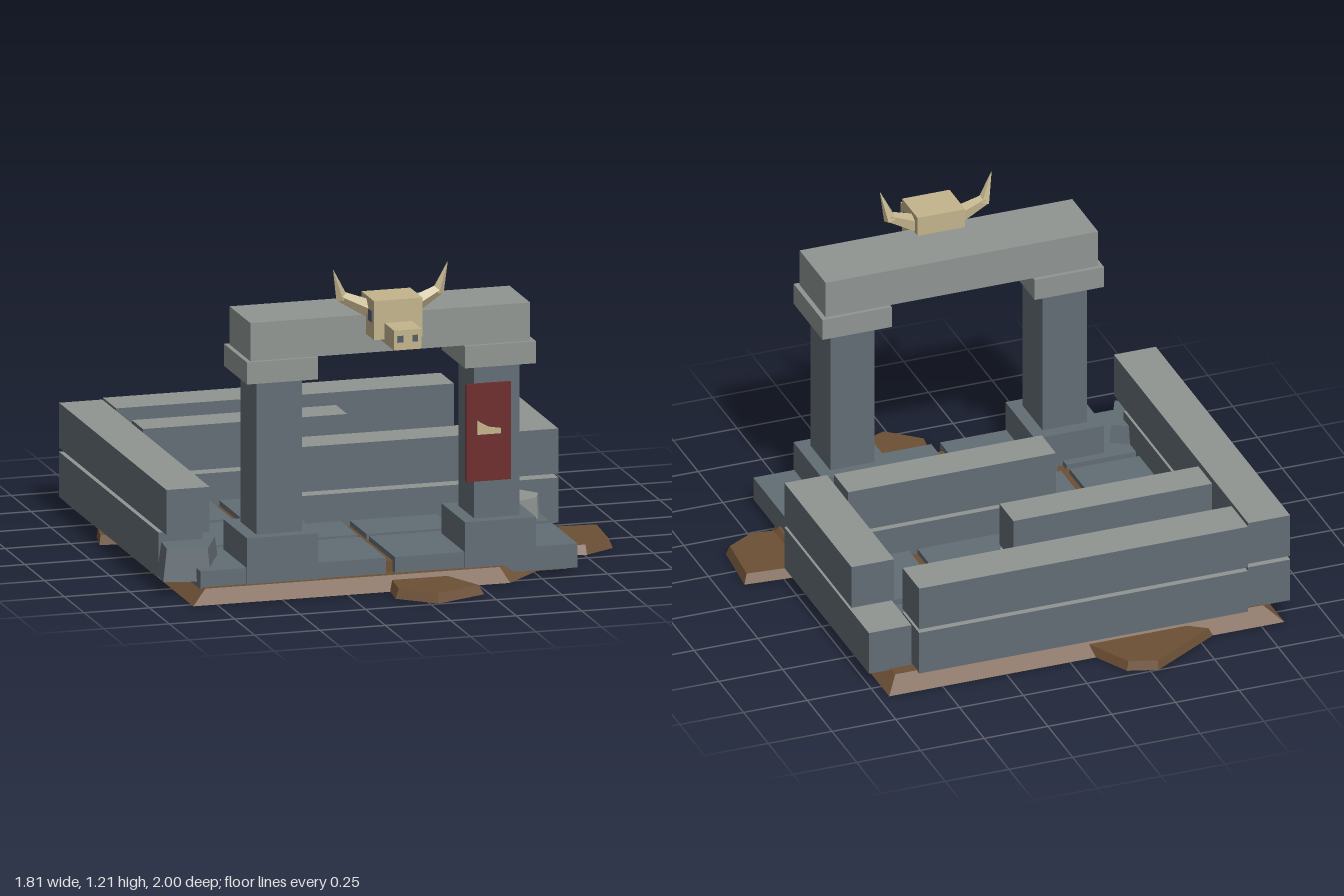
import * as THREE from 'three';
import { ConvexGeometry } from 'three/addons/geometries/ConvexGeometry.js';

export function createModel() {
  const root = new THREE.Group();
  root.name = 'ruinedGatehouse';

  const material = (name, color) => {
    const m = new THREE.MeshStandardMaterial({ color, flatShading: true });
    m.name = name;
    return m;
  };
  const stone = material('blueGreyStone', 0x626d74);
  const paleStone = material('paleStone', 0x8f9592);
  const earth = material('brownEarth', 0x6d5036);
  const bone = material('bone', 0xc2b48c);
  const cloth = material('darkRedCloth', 0x6e2a2c);
  const hollow = material('darkHollow', 0x525c66);
  const wornStone = [stone, stone, paleStone, stone, stone, stone]; // pale top face

  const add = (name, geometry, mat, parent = root) => {
    const mesh = new THREE.Mesh(geometry, mat);
    mesh.name = name;
    parent.add(mesh);
    return mesh;
  };
  // Box given by its limits on each axis
  const box = (name, mat, [x0, x1], [y0, y1], [z0, z1], parent = root) => {
    const g = new THREE.BoxGeometry(x1 - x0, y1 - y0, z1 - z0);
    g.translate((x0 + x1) / 2, (y0 + y1) / 2, (z0 + z1) / 2);
    return add(name, g, mat, parent);
  };
  // Convex slab on an (x, z) outline, its top shrunk towards the middle
  const slab = (name, mat, outline, y0, y1, shrink) => {
    const n = outline.length;
    const cx = outline.reduce((s, p) => s + p[0], 0) / n;
    const cz = outline.reduce((s, p) => s + p[1], 0) / n;
    const points = outline.flatMap(([x, z]) => [
      new THREE.Vector3(x, y0, z),
      new THREE.Vector3(cx + (x - cx) * shrink, y1, cz + (z - cz) * shrink),
    ]);
    return add(name, new ConvexGeometry(points), mat);
  };

  // Earth: sloped base, bed between the tiles, loose clods
  slab('groundBase', earth,
    [[-0.84, -0.83], [0.71, -0.83], [0.71, 0.44], [0.37, 0.775], [-0.84, 0.775]], 0, 0.05, 0.93);
  box('tileBed', earth, [-0.76, 0.62], [0.01, 0.09], [-0.7, 0.67]);
  slab('backClod', earth,
    [[-0.56, -0.83], [-0.28, -1], [-0.17, -0.965], [-0.07, -0.77], [-0.4, -0.72]], 0, 0.035, 0.93);
  slab('rightClod', earth,
    [[0.6, 0.12], [0.9, 0.145], [0.88, 0.385], [0.76, 0.455], [0.6, 0.43]], 0, 0.035, 0.9);
  slab('frontClod', earth,
    [[-0.1, 0.88], [0.03, 0.995], [0.23, 0.91], [0.13, 0.68], [-0.08, 0.7]], 0, 0.035, 0.9);
  slab('sideClod', earth,
    [[-0.905, -0.2], [-0.88, -0.32], [-0.8, -0.35], [-0.8, -0.18]], 0, 0.035, 0.9);

  // Floor tiles
  const columns = [[-0.79, -0.452], [-0.418, -0.082], [-0.048, 0.284], [0.318, 0.65]];
  const rows = [[-0.71, -0.378], [-0.342, -0.018], [0.018, 0.342], [0.375, 0.7]];
  for (const x of columns) {
    for (const z of rows) box('floorTile', stone, x, [0.02, 0.11], z);
  }

  // Walls: two courses of long blocks with a thin open joint
  const lower = [0.045, 0.215];
  const upper = [0.23, 0.4];
  const wall = (name, x, zLower, zUpper = zLower) => {
    const g = new THREE.Group();
    g.name = name;
    root.add(g);
    box(name + 'LowerCourse', wornStone, x, lower, zLower, g);
    box(name + 'UpperCourse', wornStone, x, upper, zUpper, g);
  };
  wall('rightHandWall', [-0.89, -0.725], [-0.76, 0.5], [-0.76, 0.6]);
  wall('backWall', [-0.715, 0.575], [-0.785, -0.618]);
  wall('leftHandWall', [0.58, 0.747], [-0.72, 0.135], [-0.545, 0.135]);
  wall('innerBackWall', [-0.71, 0.07], [-0.435, -0.295]);
  wall('innerFrontWall', [-0.26, 0.555], [-0.015, 0.13]);

  // Fallen stones
  slab('darkRubble', stone,
    [[-0.91, 0.625], [-0.74, 0.665], [-0.65, 0.47], [-0.72, 0.43], [-0.89, 0.45]], 0.06, 0.18, 0.86);
  slab('paleRubble', paleStone,
    [[0.365, 0.2], [0.56, 0.125], [0.645, 0.235], [0.62, 0.3], [0.44, 0.38]], 0.1, 0.19, 0.95);

  // Gate: two pillars with bases and capitals under one lintel
  for (const cx of [-0.478, 0.354]) {
    const span = (half) => [cx - half, cx + half];
    box('pillarBase', stone, span(0.136), [0.025, 0.223], [0.41, 0.707]);
    box('pillar', stone, span(0.087), [0.22, 0.81], [0.46, 0.66]);
    box('capital', paleStone, span(0.136), [0.803, 0.886], [0.412, 0.705]);
  }
  box('lintel', paleStone, [-0.597, 0.472], [0.886, 1.03], [0.428, 0.69]);

  // Banner with a small bone-coloured patch
  box('banner', cloth, [0.23, 0.4], [0.368, 0.735], [0.672, 0.685]);
  const patch = new THREE.Shape([[0.27, 0.545], [0.36, 0.545], [0.36, 0.564], [0.315, 0.572], [0.27, 0.598]]
    .map(([x, y]) => new THREE.Vector2(x, y)));
  const patchGeometry = new THREE.ExtrudeGeometry(patch, { depth: 0.007, bevelEnabled: false });
  patchGeometry.translate(0, 0, 0.684);
  add('bannerPatch', patchGeometry, bone);

  // Horned skull on the lintel
  const skull = new THREE.Group();
  skull.name = 'hornedSkull';
  skull.position.x = -0.0625;
  root.add(skull);
  box('cranium', bone, [-0.093, 0.093], [0.958, 1.105], [0.635, 0.792], skull);
  box('snout', bone, [-0.053, 0.053], [0.945, 1.02], [0.74, 0.913], skull);

  // Horn segment between two points with a tapering four-sided section
  const hornSegment = (a, b, ra, rb) => {
    const from = new THREE.Vector3(...a);
    const to = new THREE.Vector3(...b);
    const dir = to.clone().sub(from);
    const g = new THREE.CylinderGeometry(rb, ra, dir.length(), 5);
    const mesh = add('hornSegment', g, bone, skull);
    mesh.position.copy(from).lerp(to, 0.5);
    mesh.quaternion.setFromUnitVectors(new THREE.Vector3(0, 1, 0), dir.normalize());
  };
  for (const s of [-1, 1]) {
    hornSegment([s * 0.085, 1.055, 0.69], [s * 0.19, 1.105, 0.68], 0.034, 0.021);
    hornSegment([s * 0.183, 1.095, 0.68], [s * 0.218, 1.207, 0.692], 0.024, 0.001);
    const eye = s * 0.0935;
    box('eyeSocket', hollow, [eye - 0.003, eye + 0.003], [1.02, 1.063], [0.728, 0.775], skull);
    box('nostril', hollow, [s * 0.028 - 0.011, s * 0.028 + 0.011], [0.974, 0.999], [0.91, 0.915], skull);
  }

  return root;
}
